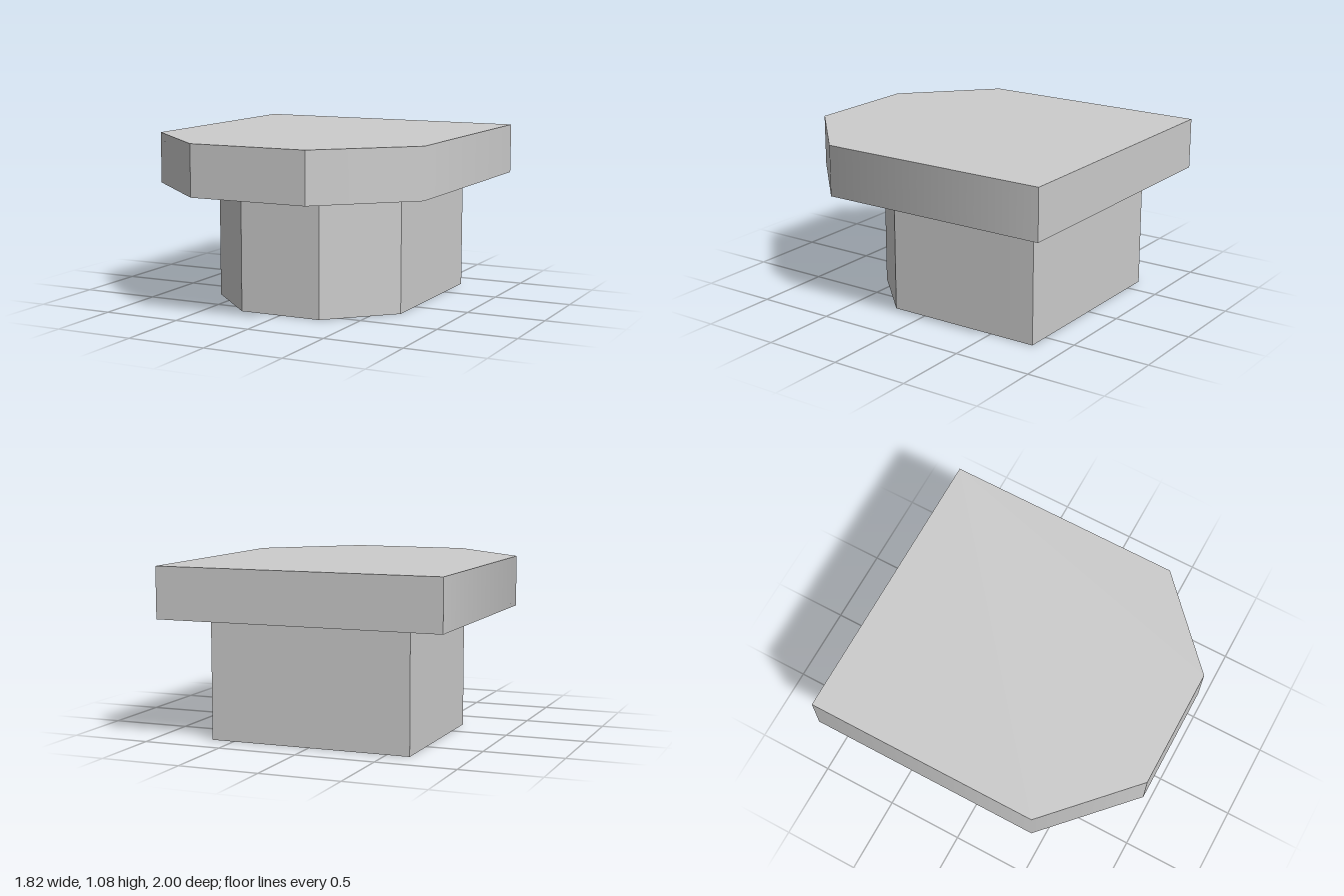
import * as THREE from 'three';

// Plan outline: a rectangle whose two front corners are cut off (shape y becomes z)
function outline(halfW, frontHalfW, back, shoulder, front) {
  return [
    [halfW, back], [halfW, shoulder], [frontHalfW, front],
    [-frontHalfW, front], [-halfW, shoulder], [-halfW, back],
  ].map(([x, z]) => new THREE.Vector2(x, z));
}

// Open-ended upright walls following a closed outline
function wallGeometry(points, y0, y1) {
  const pos = [];
  points.forEach((a, i) => {
    const b = points[(i + 1) % points.length];
    pos.push(a.x, y0, a.y, a.x, y1, a.y, b.x, y1, b.y);
    pos.push(a.x, y0, a.y, b.x, y1, b.y, b.x, y0, b.y);
  });
  const geo = new THREE.BufferGeometry();
  geo.setAttribute('position', new THREE.Float32BufferAttribute(pos, 3));
  geo.computeVertexNormals();
  return geo;
}

// Solid slab, with the shoulder edges shaded smoothly into the sides
function slabGeometry(points, y0, y1) {
  const geo = new THREE.ExtrudeGeometry(new THREE.Shape(points), { depth: y1 - y0, bevelEnabled: false });
  geo.rotateX(Math.PI / 2).translate(0, y1, 0);
  const { position: p, normal: n } = geo.attributes;
  const [, shoulder, nose] = points;
  const side = new THREE.Vector2(1, 0);
  const cut = new THREE.Vector2(nose.y - shoulder.y, shoulder.x - nose.x).normalize();
  const mean = side.add(cut).normalize();
  for (let i = 0; i < p.count; i++) {
    const onShoulder = Math.abs(p.getZ(i) - shoulder.y) < 1e-4;
    if (onShoulder && Math.abs(n.getY(i)) < 0.5) n.setXYZ(i, Math.sign(p.getX(i)) * mean.x, 0, mean.y);
  }
  return geo;
}

export function createModel() {
  const group = new THREE.Group();
  group.name = 'pedestal';
  const grey = new THREE.MeshStandardMaterial({ color: 0xcccccc, side: THREE.DoubleSide });
  grey.name = 'light grey';

  // Hollow base, open underneath
  const base = new THREE.Mesh(wallGeometry(outline(0.645, 0.27, -0.8, 0.225, 0.6), 0, 0.76), grey);
  base.name = 'baseWalls';

  // Overhanging top
  const slab = new THREE.Mesh(slabGeometry(outline(0.91, 0.383, -1, 0.505, 1), 0.76, 1.083), grey);
  slab.name = 'topSlab';

  group.add(base, slab);
  return group;
}
